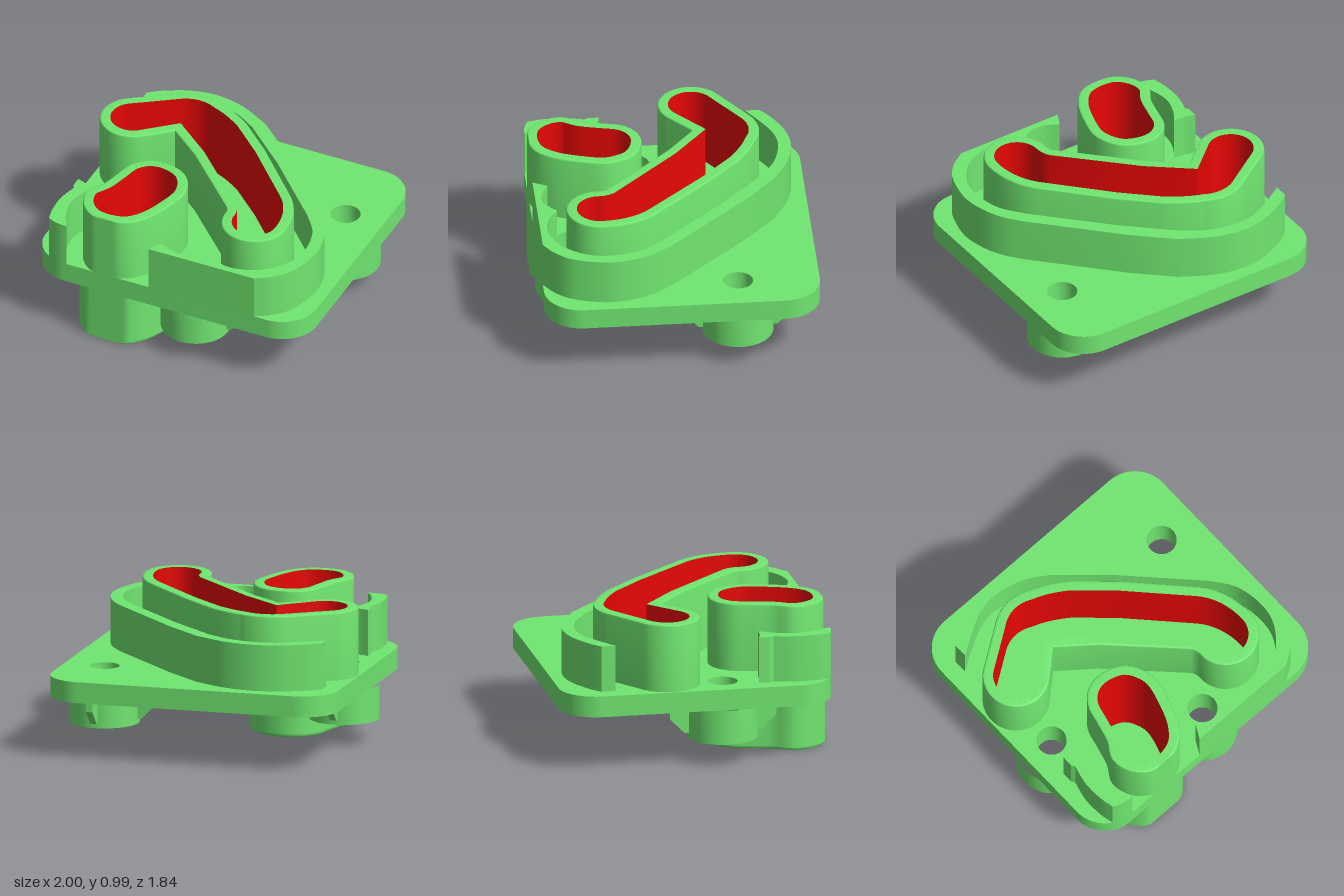
import * as THREE from 'three';
import { toCreasedNormals } from 'three/addons/utils/BufferGeometryUtils.js';

const FRONT = 0.915, DECK = 0.53, UNDER = 0.388;
const V = (a) => a.map(([x, z]) => new THREE.Vector2(x, z));

// Plan outlines are drawn as (x, z)
function outlinePoints(points) {
  const out = [];
  for (const p of points) {
    if (!out.length || p.distanceTo(out[out.length - 1]) > 0.004) out.push(p);
  }
  while (out[0].distanceTo(out[out.length - 1]) < 0.004) out.pop();
  return THREE.ShapeUtils.area(out) < 0 ? out.reverse() : out;
}

// Mitred inward offset, cut off flush with the front edge of the plate
function inset(points, d) {
  const n = points.length;
  return points.map((p, i) => {
    const a = p.clone().sub(points[(i + n - 1) % n]).normalize();
    const b = points[(i + 1) % n].clone().sub(p).normalize();
    const m = new THREE.Vector2(-a.y - b.y, a.x + b.x).normalize();
    const k = d / Math.max(0.5, m.x * -a.y + m.y * a.x);
    return new THREE.Vector2(p.x + m.x * k, Math.min(p.y + m.y * k, FRONT));
  });
}

// Surface through rings given as [inset, y]
function loft(points, rings) {
  const pos = [], idx = [], n = points.length;
  for (const [d, y] of rings) for (const p of inset(points, d)) pos.push(p.x, y, p.y);
  for (let r = 0; r < rings.length - 1; r++) {
    for (let j = 0; j < n; j++) {
      const k = (j + 1) % n, a = r * n + j, c = r * n + k;
      idx.push(a, a + n, c, c, a + n, c + n);
    }
  }
  const g = new THREE.BufferGeometry();
  g.setAttribute('position', new THREE.Float32BufferAttribute(pos, 3));
  g.setIndex(idx);
  return toCreasedNormals(g, 0.5);
}

function slab(shape, bottom, top) {
  const g = new THREE.ExtrudeGeometry(shape, { depth: top - bottom, bevelEnabled: false, curveSegments: 16 });
  return toCreasedNormals(g.rotateX(Math.PI / 2).translate(0, top, 0), 0.5);
}

export function createModel() {
  const model = new THREE.Group();
  const green = new THREE.MeshStandardMaterial({ color: 0x70e670 });
  green.name = 'green';
  const red = new THREE.MeshStandardMaterial({ color: 0xe80606 });
  red.name = 'red';
  const add = (name, geometry, material = green, parent = model) => {
    const mesh = new THREE.Mesh(geometry, material);
    mesh.name = name;
    parent.add(mesh);
    return mesh;
  };

  // Outline of the bent channel
  const bent = new THREE.Shape();
  bent.moveTo(-0.43, -0.175);
  bent.absarc(-0.745, -0.195, 0.222, 0.88, 4.07, false);
  bent.absarc(-0.42, -0.32, 0.3, 4.07, 5.2, false);
  bent.quadraticCurveTo(-0.16, -0.545, -0.03, -0.45);
  bent.lineTo(0.2, -0.24);
  bent.lineTo(0.57, 0.15);
  bent.quadraticCurveTo(0.702, 0.3, 0.702, 0.52);
  bent.absarc(0.48, 0.52, 0.222, 0, Math.PI, false);
  bent.quadraticCurveTo(0.26, 0.48, 0.24, 0.45);
  bent.lineTo(-0.2, 0.01);
  bent.lineTo(-0.43, -0.175);
  const channel = outlinePoints(bent.getPoints(20));

  // Outline of the kidney-shaped cup
  const kidneyCurve = new THREE.CatmullRomCurve3([
    [-0.33, 0.17], [-0.16, 0.235], [-0.075, 0.41], [-0.11, 0.61], [-0.185, 0.79], [-0.28, 0.89],
    [-0.41, 0.925], [-0.55, 0.9], [-0.645, 0.8], [-0.672, 0.67], [-0.61, 0.55], [-0.575, 0.42],
    [-0.535, 0.28], [-0.45, 0.195],
  ].map(([x, z]) => new THREE.Vector3(x, z, 0)), true);
  const kidney = outlinePoints(kidneyCurve.getPoints(90).map((p) => new THREE.Vector2(p.x, p.y)));

  // Base plate with rounded corners, screw holes and openings for both recesses
  const screws = [[0.723, -0.378], [-0.767, 0.18], [0.127, 0.682]];
  const x0 = -0.98, x1 = 1, z0 = -0.92, r = 0.25;
  const plate = new THREE.Shape();
  plate.absarc(x1 - r, FRONT - r, r, 0, Math.PI / 2, false);
  plate.absarc(x0 + r, FRONT - r, r, Math.PI / 2, Math.PI, false);
  plate.absarc(x0 + r, z0 + r, r, Math.PI, Math.PI * 1.5, false);
  plate.absarc(x1 - r, z0 + r, r, Math.PI * 1.5, Math.PI * 2, false);
  for (const [x, z] of screws) plate.holes.push(new THREE.Path().absarc(x, z, 0.1, 0, Math.PI * 2, true));
  for (const recess of [kidney, channel]) plate.holes.push(new THREE.Path(inset(recess, 0.06).reverse()));
  add('basePlate', slab(plate, UNDER, DECK));

  // Raised recess walls with softened rims, red linings and sunken floors
  const rim = [[0, DECK], [0, 0.972], [0, 0.977], [0.004, 0.986], [0.013, 0.99], [0.018, 0.99], [0.07, 0.99]];
  add('channelWall', loft(channel, rim));
  add('channelLining', loft(channel, [[0.07, 0.99], [0.07, 0.46]]), red);
  add('channelFloor', slab(new THREE.Shape(inset(channel, 0.06)), UNDER, 0.46));
  add('cupWall', loft(kidney, rim));
  add('cupLining', loft(kidney, [[0.07, 0.99], [0.07, 0.07]]), red);
  add('cupFloor', slab(new THREE.Shape(inset(kidney, 0.02)), 0, 0.07));

  // Cup body under the plate
  add('cupBody', loft(kidney, [[0.02, 0], [0, 0], [-0.005, 0], [-0.017, 0.006], [-0.023, 0.018], [-0.023, 0.023], [-0.023, UNDER]]));

  // Long guard wall around the channel
  const guard = new THREE.Shape();
  guard.moveTo(-0.865, -0.66);
  guard.splineThru(V([[-0.77, -0.73], [-0.6, -0.808], [-0.42, -0.832], [-0.22, -0.79], [0, -0.675]]));
  guard.lineTo(0.25, -0.45);
  guard.lineTo(0.74, 0.06);
  guard.splineThru(V([[0.83, 0.18], [0.89, 0.32], [0.915, 0.5], [0.86, 0.72], [0.77, 0.84], [0.66, FRONT]]));
  guard.lineTo(-0.11, FRONT);
  guard.lineTo(-0.06, 0.82);
  guard.splineThru(V([[0.03, 0.863], [0.14, 0.867], [0.25, 0.785]]));
  guard.splineThru(V([[0.35, 0.845], [0.49, 0.868], [0.67, 0.8], [0.8, 0.64], [0.83, 0.47], [0.79, 0.28], [0.68, 0.125]]));
  guard.lineTo(0.25, -0.32);
  guard.lineTo(-0.07, -0.61);
  guard.splineThru(V([[-0.235, -0.705], [-0.43, -0.747], [-0.58, -0.725], [-0.72, -0.655], [-0.865, -0.565]]));
  add('longGuardWall', slab(guard, DECK, 0.842));

  // Short guard wall beside the cup, trimmed to the plate corner
  const short = new THREE.Shape();
  short.moveTo(-0.865, 0.405);
  short.splineThru(V([[-0.79, 0.427], [-0.71, 0.43]]));
  short.splineThru(V([[-0.77, 0.53], [-0.8, 0.66], [-0.77, 0.8], [-0.71, FRONT]]));
  short.absarc(x0 + r, FRONT - r, r, Math.PI / 2, 2.1, false);
  short.splineThru(V([[-0.877, 0.78], [-0.88, 0.64], [-0.85, 0.505]]));
  short.lineTo(-0.865, 0.48);
  add('shortGuardWall', slab(short, DECK, 0.842));

  // Screw bosses with countersinks and gusset fins
  const bossGeometry = toCreasedNormals(new THREE.LatheGeometry(V([
    [0.1, UNDER], [0.1, 0.27], [0.21, 0.155], [0.235, 0.155], [0.235, UNDER],
  ]), 48), 0.5);
  const finGeometry = new THREE.ExtrudeGeometry(new THREE.Shape(V([
    [0.22, UNDER], [0.22, 0.19], [0.26, 0.19], [0.36, 0.29], [0.36, UNDER],
  ])), { depth: 0.045, bevelEnabled: false }).translate(0, 0, -0.0225);
  // Quarter turns at which each boss has room for a fin
  const finTurns = [[1, 2, 3], [0, 1, 3], [0, 1]];
  screws.forEach(([x, z], i) => {
    const boss = new THREE.Group();
    boss.name = 'screwBoss';
    boss.position.set(x, 0, z);
    model.add(boss);
    add('bossSleeve', bossGeometry, green, boss);
    for (const turn of finTurns[i]) add('gussetFin', finGeometry, green, boss).rotation.y = turn * Math.PI / 2;
  });
  return model;
}
